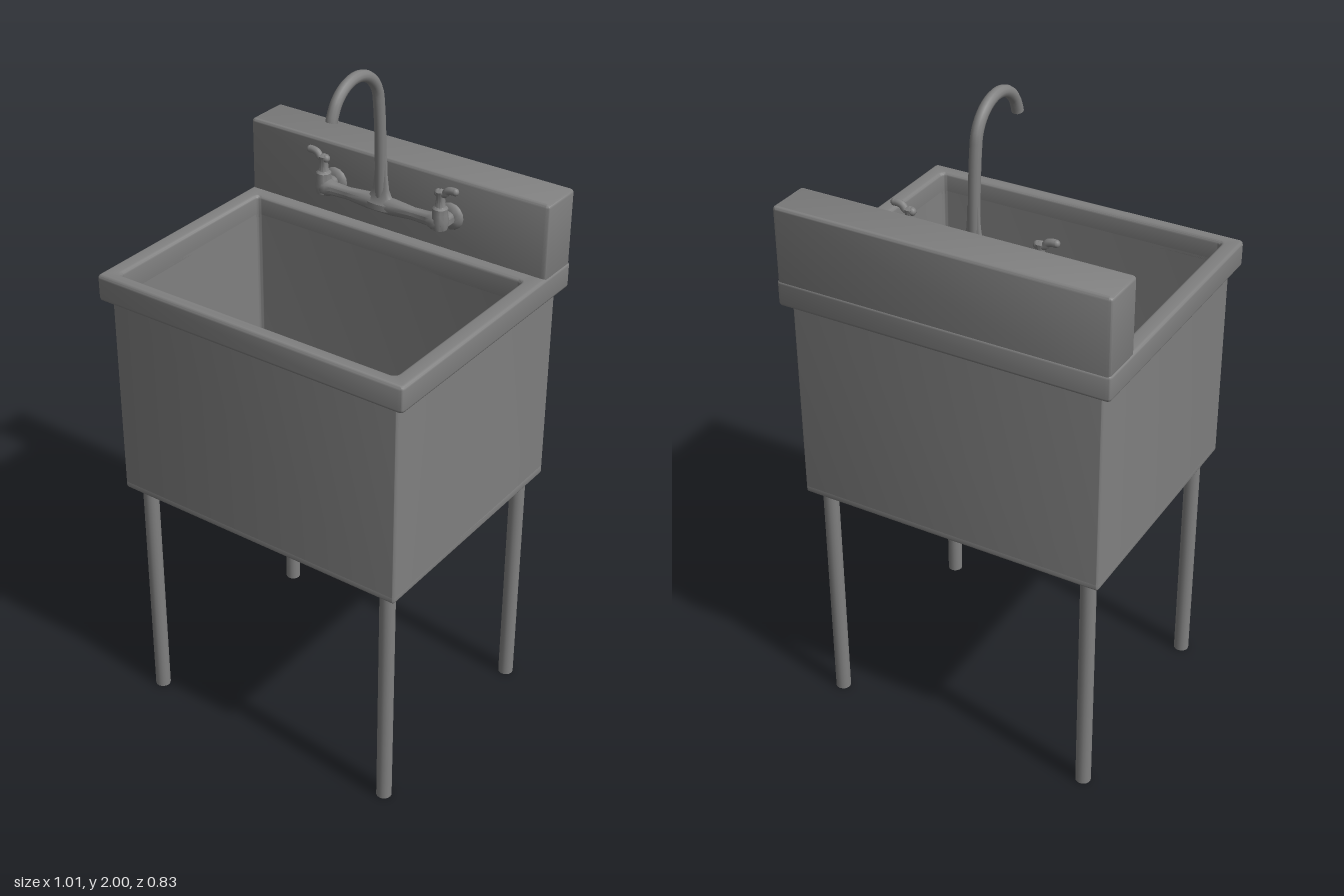
import * as THREE from 'three';
import { toCreasedNormals } from 'three/addons/utils/BufferGeometryUtils.js';

const steel = new THREE.MeshStandardMaterial({ color: 0x808080 });
steel.name = 'steel grey';

function add(parent, name, geometry, x = 0, y = 0, z = 0) {
  const mesh = new THREE.Mesh(geometry, steel);
  mesh.name = name;
  mesh.position.set(x, y, z);
  parent.add(mesh);
  return mesh;
}

// Rounded rectangle in plan; z0 is the back edge, z1 the front edge
function plan(Type, halfX, z0, z1, r) {
  const s = new Type();
  const b = -z1, t = -z0;
  s.moveTo(-halfX + r, b);
  s.lineTo(halfX - r, b);
  s.absarc(halfX - r, b + r, r, -Math.PI / 2, 0);
  s.lineTo(halfX, t - r);
  s.absarc(halfX - r, t - r, r, 0, Math.PI / 2);
  s.lineTo(-halfX + r, t);
  s.absarc(-halfX + r, t - r, r, Math.PI / 2, Math.PI);
  s.lineTo(-halfX, b + r);
  s.absarc(-halfX + r, b + r, r, Math.PI, Math.PI * 1.5);
  return s;
}

// Upright slab between two heights with softened edges
function slab(shape, y0, y1, bevel) {
  const g = new THREE.ExtrudeGeometry(shape, {
    depth: y1 - y0 - 2 * bevel, curveSegments: 4, bevelEnabled: bevel > 0,
    bevelSize: bevel, bevelThickness: bevel, bevelOffset: -bevel, bevelSegments: 4,
  });
  g.rotateX(-Math.PI / 2);
  g.translate(0, y0 + bevel, 0);
  return toCreasedNormals(g, 0.6);
}

function lathe(points, segments) {
  const g = new THREE.LatheGeometry(points.map(([r, y]) => new THREE.Vector2(r, y)), segments);
  return toCreasedNormals(g, 0.8);
}

function tube(points, radius, segments, sides) {
  const curve = new THREE.CatmullRomCurve3(points.map((p) => new THREE.Vector3(...p)));
  return new THREE.TubeGeometry(curve, segments, radius, sides);
}

function createBasin() {
  const basin = new THREE.Group();
  basin.name = 'basin';
  const opening = () => plan(THREE.Path, 0.455, -0.237, 0.373, 0.015);

  const walls = plan(THREE.Shape, 0.475, -0.39, 0.39, 0.008);
  walls.holes.push(opening());
  add(basin, 'basinWalls', slab(walls, 0.775, 1.4, 0));
  add(basin, 'basinFloor', slab(plan(THREE.Shape, 0.475, -0.39, 0.39, 0.008), 0.755, 0.79, 0.007));

  const rim = plan(THREE.Shape, 0.505, -0.415, 0.415, 0.014);
  rim.holes.push(opening());
  add(basin, 'rim', slab(rim, 1.38, 1.46, 0.011));
  add(basin, 'backsplash', slab(plan(THREE.Shape, 0.502, -0.413, -0.275, 0.012), 1.42, 1.68, 0.01));
  return basin;
}

function createFaucet() {
  const faucet = new THREE.Group();
  faucet.name = 'faucet';
  const z = -0.217;

  // Horizontal mixing body, swelling toward both ends and the middle
  const half = [[0.001, 0.215], [0.02, 0.212], [0.026, 0.195], [0.026, 0.178], [0.02, 0.16], [0.018, 0.11], [0.024, 0.04]];
  const profile = [...half.map(([r, y]) => [r, -y]), ...half.slice().reverse()];
  const body = lathe(profile, 12);
  body.rotateZ(Math.PI / 2);
  add(faucet, 'mixingBody', body, 0, 1.57, z);

  // Flared foot of the spout, flattened front to back
  const foot = lathe([[0.001, 1.553], [0.062, 1.56], [0.06, 1.577], [0.038, 1.59], [0.027, 1.615], [0.021, 1.66], [0.018, 1.72]], 16);
  foot.scale(1, 1, 0.45);
  add(faucet, 'spoutFoot', foot, 0, 0, z);

  // Gooseneck spout
  const path = [[0, 1.58, z], [0, 1.7, -0.214], [0, 1.8, -0.209]];
  for (let i = 0; i <= 8; i++) {
    const a = Math.PI - (i / 8) * Math.PI * 0.91;
    path.push([0, 1.874 + 0.11 * Math.sin(a), -0.092 + 0.11 * Math.cos(a)]);
  }
  path.push([0, 1.895, 0.016]);
  add(faucet, 'spout', tube(path, 0.0165, 48, 12));
  const tip = add(faucet, 'spoutTip', new THREE.CircleGeometry(0.0165, 12), 0, 1.895, 0.016);
  tip.rotation.x = Math.PI / 2;

  // Wall mounts, valves and lever handles
  for (const side of [-1, 1]) {
    const valve = new THREE.Group();
    valve.name = side > 0 ? 'leftValve' : 'rightValve';
    valve.position.x = side * 0.197;
    faucet.add(valve);
    const mount = lathe([[0.04, 0], [0.04, 0.006], [0.034, 0.014], [0.021, 0.018], [0.021, 0.055], [0.001, 0.055]], 16);
    mount.rotateX(Math.PI / 2);
    add(valve, 'wallMount', mount, 0, 1.565, -0.277);
    add(valve, 'valveStem', lathe([[0.001, 1.543], [0.022, 1.55], [0.026, 1.575], [0.022, 1.595],
      [0.022, 1.612], [0.015, 1.618], [0.012, 1.645], [0.015, 1.662], [0.001, 1.67]], 12), 0, 0, z);
    const lever = tube([[-side * 0.006, 1.655, z], [side * 0.012, 1.657, z], [side * 0.022, 1.668, z],
      [side * 0.034, 1.672, z], [side * 0.046, 1.672, z]], 0.011, 14, 10);
    add(valve, 'lever', lever);
    add(valve, 'leverTip', new THREE.SphereGeometry(0.011, 10, 8), side * 0.046, 1.672, z);
    add(valve, 'leverHeel', new THREE.SphereGeometry(0.012, 10, 8), -side * 0.008, 1.656, z);
  }
  return faucet;
}

export function createModel() {
  const model = new THREE.Group();
  model.name = 'utilitySink';
  model.add(createBasin(), createFaucet());
  for (const x of [-1, 1]) {
    for (const z of [-1, 1]) {
      const name = (z > 0 ? 'front' : 'back') + (x > 0 ? 'Left' : 'Right') + 'Leg';
      add(model, name, new THREE.CylinderGeometry(0.023, 0.023, 0.765, 16), x * 0.423, 0.3825, z * 0.341);
    }
  }
  return model;
}
